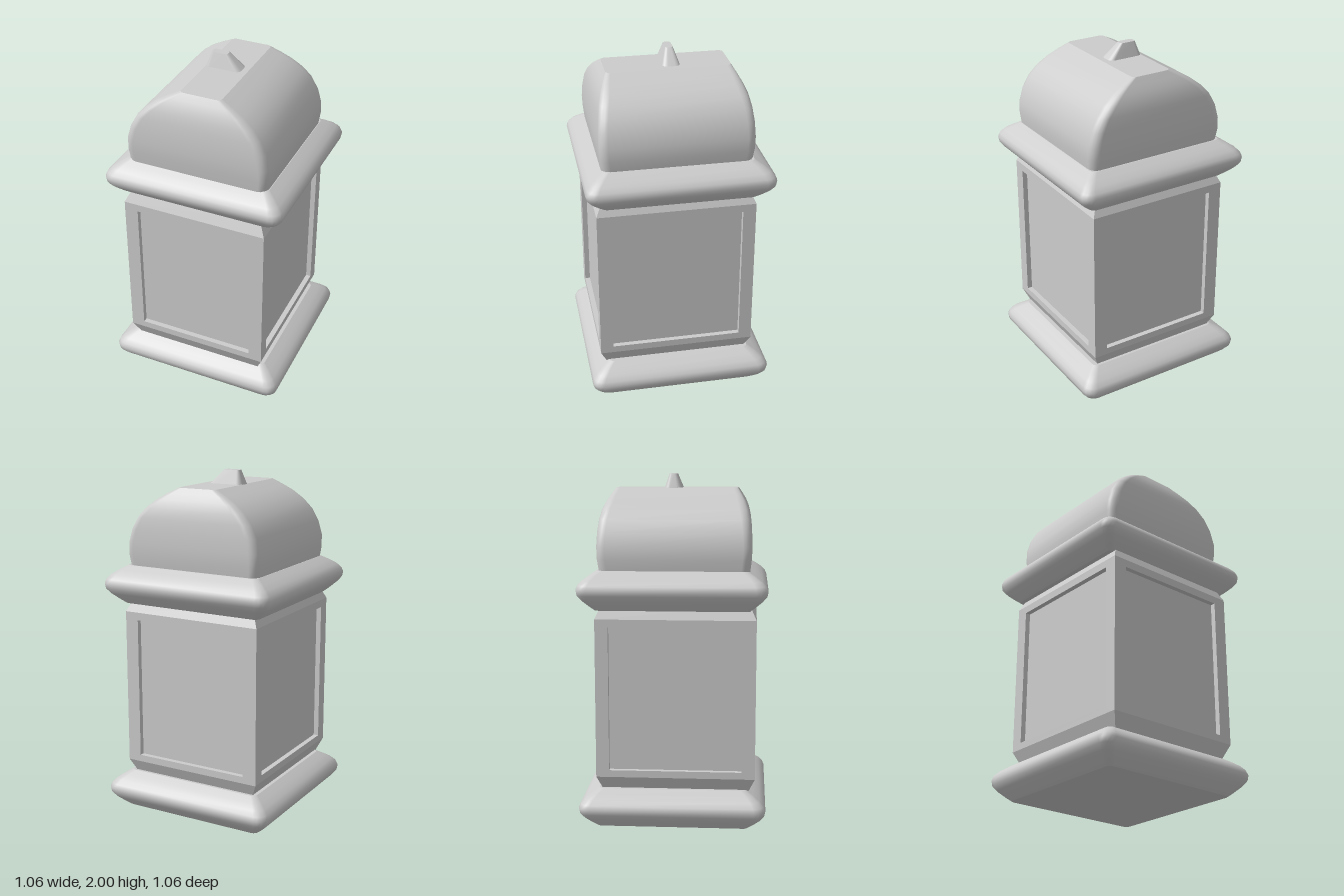
import * as THREE from 'three';

const stone = new THREE.MeshStandardMaterial({ color: 0xcccccc });
stone.name = 'paleStone';

// Loft of rounded rectangles; each level is [y, x0, x1, z0, z1, cornerRadius]
function loft(levels, flat = false) {
  const seg = 4, pos = [], idx = [];
  const ring = ([y, x0, x1, z0, z1, r]) => {
    const pts = [];
    const corners = [[x1 - r, z1 - r], [x0 + r, z1 - r], [x0 + r, z0 + r], [x1 - r, z0 + r]];
    corners.forEach(([cx, cz], c) => {
      for (let i = 0; i <= seg; i++) {
        const a = (c + i / seg) * Math.PI / 2;
        pts.push([cx + r * Math.cos(a), y, cz + r * Math.sin(a)]);
      }
    });
    return pts;
  };
  const n = 4 * (seg + 1);
  levels.forEach(l => ring(l).forEach(p => pos.push(...p)));
  for (let k = 0; k < levels.length - 1; k++) {
    for (let i = 0; i < n; i++) {
      const a = k * n + i, b = k * n + (i + 1) % n;
      idx.push(a, a + n, b, b, a + n, b + n);
    }
  }
  // separate cap vertices keep the rims crisp
  [[levels[0], false], [levels[levels.length - 1], true]].forEach(([l, top]) => {
    const s = pos.length / 3;
    ring(l).forEach(p => pos.push(...p));
    for (let i = 1; i < n - 1; i++) {
      if (top) idx.push(s, s + i + 1, s + i);
      else idx.push(s, s + i, s + i + 1);
    }
  });
  let g = new THREE.BufferGeometry();
  g.setAttribute('position', new THREE.Float32BufferAttribute(pos, 3));
  g.setIndex(idx);
  if (flat) g = g.toNonIndexed();
  g.computeVertexNormals();
  return g;
}

function add(parent, name, geometry) {
  const m = new THREE.Mesh(geometry, stone);
  m.name = name;
  parent.add(m);
  return m;
}

// Cushion-shaped square moulding
function cushion(y) {
  return loft([
    [0, 0.435, 0.03], [0.025, 0.465, 0.04], [0.06, 0.502, 0.05], [0.09, 0.526, 0.06],
    [0.12, 0.532, 0.065], [0.145, 0.522, 0.06], [0.17, 0.498, 0.05], [0.195, 0.462, 0.04], [0.22, 0.42, 0.03],
  ].map(([h, w, r]) => [y + h, -w, w, -w, w, r]));
}

// Flat frame with a rectangular opening
function frame(x0, x1, hx0, hx1, depth) {
  const rect = (P, a, b, c, d) => new P([[a, c], [b, c], [b, d], [a, d]].map(p => new THREE.Vector2(...p)));
  const s = rect(THREE.Shape, x0, x1, 0.29, 1.2);
  s.holes.push(rect(THREE.Path, hx0, hx1, 0.33, 1.155));
  return new THREE.ExtrudeGeometry(s, { depth, bevelEnabled: false });
}

export function createModel() {
  const model = new THREE.Group();
  model.name = 'lanternPillar';

  add(model, 'baseMoulding', cushion(0));
  add(model, 'upperMoulding', cushion(1.25));

  // Body: inner core, chamfered ends and four recessed panels
  const body = new THREE.Group();
  body.name = 'body';
  model.add(body);
  const X0 = -0.43, X1 = 0.425, Z0 = -0.435, Z1 = 0.47, d = 0.03, e = 0.0001;
  const cx = (X0 + X1) / 2, cz = (Z0 + Z1) / 2;
  const core = add(body, 'panelCore', new THREE.BoxGeometry(X1 - X0 - 2 * d, 0.91, Z1 - Z0 - 2 * d));
  core.position.set(cx, 0.745, cz);
  const rect = (y, inset) => [y, X0 + inset, X1 - inset, Z0 + inset, Z1 - inset, e];
  add(body, 'lowerChamfer', loft([rect(0.2, 0.04), rect(0.29, 0)], true));
  add(body, 'upperChamfer', loft([rect(1.2, 0), rect(1.28, 0.038)], true));

  const wx = (X1 - X0) / 2, wz = (Z1 - Z0) / 2;
  for (const back of [0, 1]) {
    const f = add(body, back ? 'backFrame' : 'frontFrame', frame(-wx, wx, -0.347, 0.347, d));
    f.rotation.y = back * Math.PI;
    f.position.set(cx, 0, back ? Z0 + d : Z1 - d);
    const s = add(body, back ? 'rightFrame' : 'leftFrame', frame(-wz + d, wz - d, -0.378, 0.378, d));
    s.rotation.y = back ? -Math.PI / 2 : Math.PI / 2;
    s.position.set(back ? X0 + d : X1 - d, 0, cz);
  }

  // Vaulted roof, flat on top
  add(model, 'roof', loft([
    [1.46, 0.415, -0.413, 0.43, 0.05], [1.53, 0.423, -0.424, 0.438, 0.05],
    [1.6, 0.42, -0.427, 0.442, 0.05], [1.68, 0.398, -0.424, 0.438, 0.05],
    [1.75, 0.36, -0.417, 0.43, 0.05], [1.805, 0.31, -0.405, 0.418, 0.05],
    [1.85, 0.252, -0.386, 0.4, 0.045], [1.885, 0.19, -0.366, 0.38, 0.035],
    [1.92, 0.12, -0.345, 0.357, 0.025],
  ].map(([y, w, z0, z1, r]) => [y, -w, w, z0, z1, r])));

  // Leaning finial
  add(model, 'finial', loft([
    [1.915, -0.124, 0.09, -0.066, 0.037, 0.03],
    [2.0, -0.095, 0, -0.038, 0.006, 0.014],
  ]));

  return model;
}
